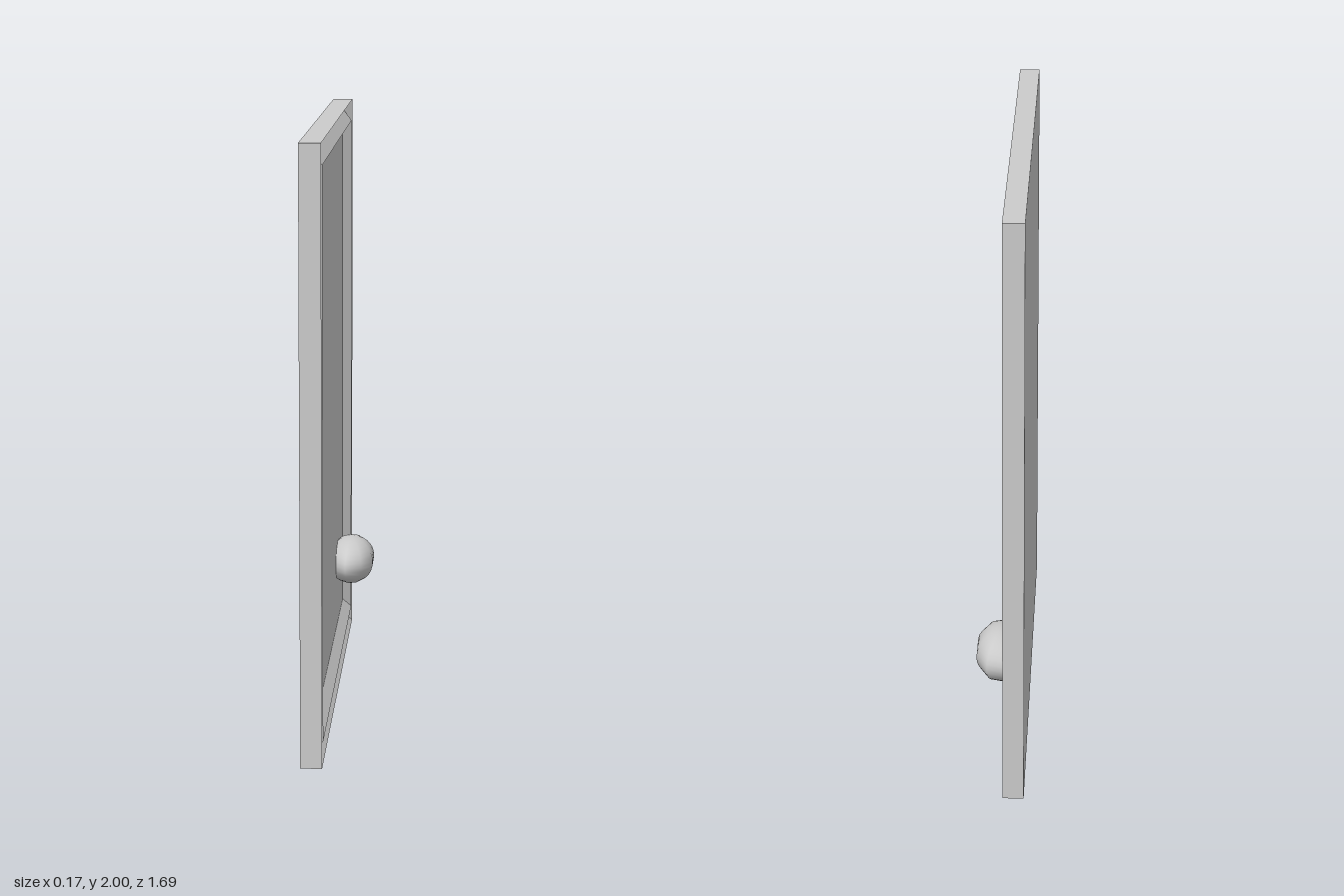
import * as THREE from 'three';

const HALF_DEPTH = 0.845, HEIGHT = 2;

// Rectangle of four corners facing +x, inset from the door's outline
function ring(x, insetY, insetZ) {
  const z = HALF_DEPTH - insetZ, y0 = insetY, y1 = HEIGHT - insetY;
  return [[x, y0, z], [x, y0, -z], [x, y1, -z], [x, y1, z]];
}

// Flat-sided solid through a series of rings, closed at both ends
function loftRings(rings) {
  const pos = [];
  const quad = (a, b, c, d) => pos.push(...a, ...b, ...c, ...a, ...c, ...d);
  for (let i = 0; i < rings.length - 1; i++) {
    const p = rings[i], q = rings[i + 1];
    for (let k = 0; k < 4; k++) {
      const n = (k + 1) % 4;
      quad(p[k], p[n], q[n], q[k]);
    }
  }
  quad(...rings[rings.length - 1]);
  quad(...[...rings[0]].reverse());
  const geo = new THREE.BufferGeometry();
  geo.setAttribute('position', new THREE.Float32BufferAttribute(pos, 3));
  geo.computeVertexNormals();
  return geo;
}

export function createModel() {
  const group = new THREE.Group();
  group.name = 'cabinetDoor';
  const material = new THREE.MeshStandardMaterial({ color: 0xcccccc });

  // Door panel: flat back, rim, V-groove, inner ridge, recessed face
  const panel = new THREE.Mesh(loftRings([
    ring(-0.085, 0, 0),
    ring(-0.015, 0, 0),
    ring(-0.046, 0.036, 0.03),
    ring(-0.015, 0.073, 0.06),
    ring(-0.046, 0.109, 0.09),
  ]), material);
  panel.name = 'doorPanel';
  group.add(panel);

  // Oval knob with nine sides around its upright axis
  const knobGeo = new THREE.SphereGeometry(1, 9, 16);
  knobGeo.scale(0.086, 0.084, 0.155);
  const knob = new THREE.Mesh(knobGeo, material);
  knob.name = 'knob';
  knob.position.set(0.004, 0.346, -0.466);
  group.add(knob);

  return group;
}
